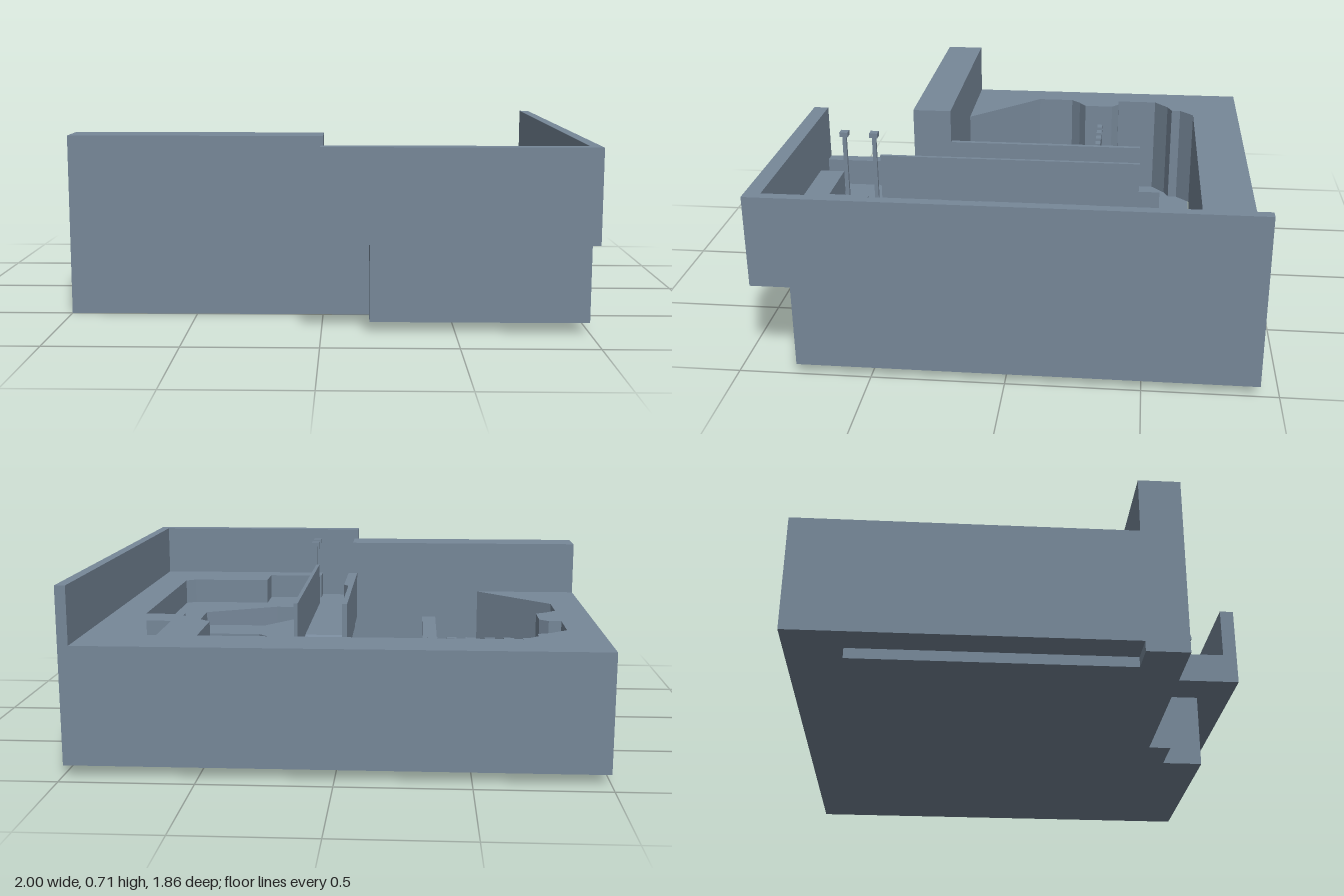
import * as THREE from 'three';

const stone = new THREE.MeshStandardMaterial({ color: 0x778899 });
stone.name = 'slate grey';

const GROUND = 0.49, DECK = 0.38, FLOOR = 0.04, TOP = 0.71;

export function createModel() {
  const model = new THREE.Group();
  model.name = 'sunkenCourtyard';

  const add = (name, geometry) => {
    const mesh = new THREE.Mesh(geometry, stone);
    mesh.name = name;
    model.add(mesh);
    return mesh;
  };
  const box = (name, x0, x1, y0, y1, z0, z1) => {
    const g = new THREE.BoxGeometry(x1 - x0, y1 - y0, z1 - z0);
    g.translate((x0 + x1) / 2, (y0 + y1) / 2, (z0 + z1) / 2);
    return add(name, g);
  };
  const flat = (pts) => pts.map(([x, z]) => new THREE.Vector2(x, -z));
  // Horizontal slab from a plan outline of [x, z] corners
  const slab = (name, y0, y1, outline, holes = []) => {
    const shape = new THREE.Shape(flat(outline));
    holes.forEach((h) => shape.holes.push(new THREE.Path(flat(h))));
    const g = new THREE.ExtrudeGeometry(shape, { depth: y1 - y0, bevelEnabled: false });
    g.rotateX(-Math.PI / 2);
    g.translate(0, y0, 0);
    return add(name, g);
  };
  // Block whose top and bottom follow height rules
  const ramp = (name, x0, x1, z0, z1, top, bottom) => {
    const g = new THREE.BoxGeometry(x1 - x0, 1, z1 - z0);
    g.translate((x0 + x1) / 2, 0, (z0 + z1) / 2);
    const p = g.attributes.position;
    for (let i = 0; i < p.count; i++) {
      const rule = p.getY(i) > 0 ? top : bottom;
      p.setY(i, rule(p.getX(i), p.getZ(i)));
    }
    g.computeVertexNormals();
    return add(name, g);
  };

  // Pit edge shared by both body layers, from the back right round to the front
  const pitEdge = [
    [0.68, -0.27], [0.66, -0.27], [0.66, -0.32], [0.53, -0.44], [0.53, -0.72],
    [-0.69, -0.72], [-0.75, -0.66], [-0.75, -0.62], [-0.8, -0.6], [-0.87, -0.54],
    [-0.87, -0.36], [-0.82, -0.36], [-0.785, -0.33], [-0.785, -0.2], [-0.83, -0.17],
    [-0.87, -0.13], [-0.87, 0.03], [-0.57, 0.34],
  ];

  // Body below deck level
  slab('lowerBody', FLOOR, DECK, [
    [-1, -0.93], [1, -0.93], [1, 0.78], [0.18, 0.78], [0.18, 0.61], [0, 0.61], [0, 0.5], [-1, 0.5],
  ], [[...pitEdge, [0.19, 0.34], [0.27, 0.43], [0.27, 0.5], [0.37, 0.5], [0.68, 0.34]]]);

  // Body between deck and ground level, with the small side pit
  slab('upperBody', DECK, GROUND, [
    [-1, -0.93], [1, -0.93], [1, 0.93], [0, 0.93], [0, 0.5], [-1, 0.5],
  ], [
    [...pitEdge, [0, 0.34], [0.004, 0.42], [0.05, 0.5], [0.05, 0.87], [0.18, 0.87], [0.18, 0.77],
      [0.43, 0.77], [0.43, 0.61], [0.78, 0.61], [0.82, 0.58], [0.82, -0.29], [0.68, -0.29]],
    [[0.685, -0.72], [0.76, -0.72], [0.78, -0.68], [0.82, -0.66], [0.82, -0.44], [0.685, -0.44]],
  ]);

  // Underside plate and front overhang
  slab('pitFloor', 0, FLOOR, [
    [-0.87, -0.715], [0.685, -0.715], [0.685, 0.5], [-1, 0.5], [-1, 0.34], [-0.87, 0.34],
  ]);
  slab('frontOverhang', 0.36, DECK, [
    [0, 0.61], [0.18, 0.61], [0.18, 0.78], [1, 0.78], [1, 0.93], [0, 0.93],
  ]);

  // Boundary walls above ground
  box('frontLeftWall', -1, 0, GROUND, TOP, 0.34, 0.5);
  box('sideWall', 0.96, 1, GROUND, TOP, -0.93, 0.93);
  box('frontRightWall', 0, 0.96, GROUND, TOP, 0.87, 0.93);

  // Bridge with its flared side deck and screens
  box('bridgeDeck', -0.01, 0.185, 0.32, DECK, -0.15, 0.5);
  slab('sideDeck', 0.32, DECK, [
    [0.185, -0.285], [0.25, -0.285], [0.37, -0.15], [0.68, -0.15],
    [0.68, 0.04], [0.37, 0.04], [0.25, 0.2], [0.185, 0.2],
  ]);
  const bridgeRise = (x, z) => 0.2 + (0.18 * (z + 0.44)) / 0.29;
  ramp('bridgeRamp', 0, 0.175, -0.44, -0.15, bridgeRise, (x, z) => bridgeRise(x, z) - 0.06);
  [[-0.02, 0, 0.34], [0.175, 0.19, 0.61]].forEach(([x0, x1, z1]) => {
    box('bridgeScreen', x0, x1, 0.37, 0.57, -0.47, z1);
    box('rampCurb', x0, x1, 0.2, 0.37, -0.56, -0.44);
  });

  // Ramp from ground level down to the side deck
  ramp('groundRamp', 0.68, 0.82, -0.29, -0.15,
    (x, z) => GROUND - (0.108 * (z + 0.29)) / 0.14, () => DECK - 0.02);

  // Raised back platform with a step and a ramp
  slab('backPlatform', FLOOR, 0.2, [
    [-0.22, -0.72], [0.34, -0.72], [0.34, -0.527], [0.19, -0.44], [-0.22, -0.44],
  ]);
  slab('backStep', FLOOR, 0.12, [
    [-0.33, -0.72], [-0.22, -0.72], [-0.22, -0.44], [-0.28, -0.44], [-0.33, -0.49],
  ]);
  ramp('backRamp', 0.34, 0.45, -0.72, -0.59,
    (x) => 0.2 - (0.155 * (x - 0.34)) / 0.11, () => FLOOR);

  // Low platform beside the front wall
  box('frontPlatform', -0.32, -0.08, FLOOR, 0.12, 0.2, 0.34);
  ramp('frontPlatformRamp', -0.08, -0.02, 0.2, 0.34,
    (x) => 0.12 - (0.075 * (x + 0.08)) / 0.06, () => FLOOR);

  // Catwalk beams, battlements and thin legs
  box('crossBeam', -0.785, -0.02, 0.31, 0.37, -0.285, -0.262);
  box('catwalk', -0.38, -0.32, 0.33, 0.37, -0.262, 0.34);
  for (let i = 0; i < 6; i++) {
    const x = -0.77 + i * 0.078;
    box('battlement', x, x + 0.042, 0.37, 0.4, -0.285, -0.262);
  }
  [[-0.35, -0.24], [-0.35, 0.02], [-0.35, 0.19], [-0.74, -0.273]].forEach(([x, z]) => {
    box('catwalkLeg', x - 0.01, x + 0.01, FLOOR, 0.33, z - 0.01, z + 0.01);
  });

  // Capped gate posts at the entrance
  [0.63, 0.755].forEach((z) => {
    box('gatePost', 0.188, 0.203, DECK, 0.655, z - 0.008, z + 0.008);
    box('gatePostCap', 0.178, 0.213, 0.655, 0.675, z - 0.017, z + 0.017);
  });

  return model;
}
